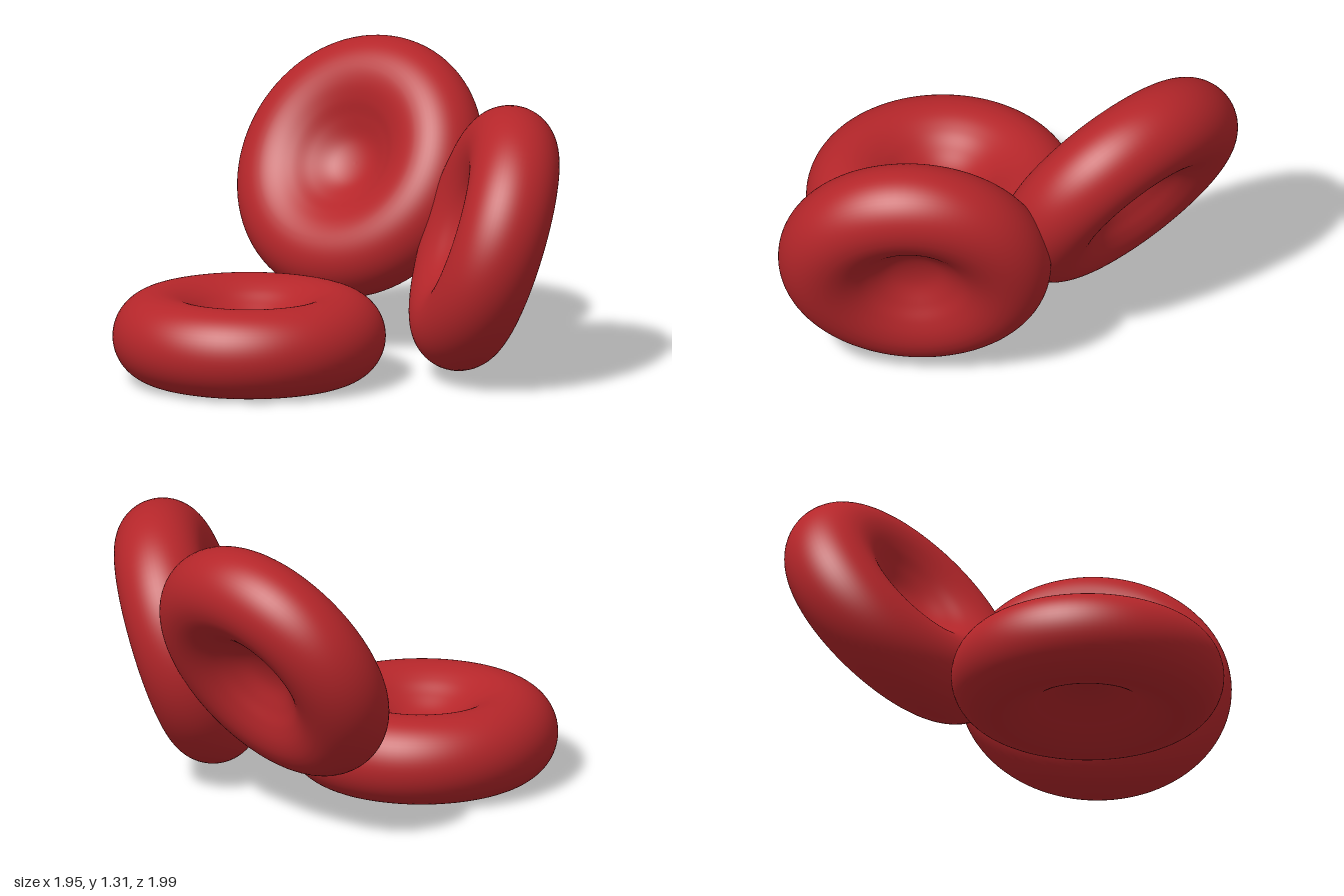
import * as THREE from 'three';

const RING = 0.4;    // radius at which the disc is thickest
const TUBE = 0.195;  // half thickness of the rounded rim

// Biconcave disc: dimpled faces flowing into a half-round rim
function discGeometry() {
  const dimple = new THREE.SplineCurve([
    [-0.1, 0.055], [0, 0.04], [0.1, 0.055], [0.19, 0.105], [0.26, 0.152],
    [0.33, 0.184], [RING, TUBE], [0.47, 0.182],
  ].map(([r, h]) => new THREE.Vector2(r, h)));

  // From the centre (t = 1/7) out to the crest (t = 6/7)
  const top = [];
  for (let i = 0; i <= 30; i++) top.push(dimple.getPoint((1 + 5 * i / 30) / 7));
  top[0].x = 0;

  const rim = [];
  for (let i = 1; i < 32; i++) {
    const a = -Math.PI / 2 + Math.PI * i / 32;
    rim.push(new THREE.Vector2(RING + TUBE * Math.cos(a), TUBE * Math.sin(a)));
  }
  const bottom = top.map((p) => new THREE.Vector2(p.x, -p.y));
  return new THREE.LatheGeometry([...bottom, ...rim, ...top.reverse()], 96);
}

export function createModel() {
  const model = new THREE.Group();
  model.name = 'bloodCells';

  const red = new THREE.MeshStandardMaterial({ color: 0xb5262a });
  red.name = 'bloodRed';
  const geometry = discGeometry();
  const up = new THREE.Vector3(0, 1, 0);

  // Each cell: centre and the direction its upper face points
  const cells = [
    ['lyingCell', [-0.38, 0.195, 0.4], [0, 1, 0]],
    ['backCell', [-0.195, 0.765, -0.58], [-0.275, 0.484, 0.831]],
    ['leftCell', [0.57, 0.615, 0.015], [-0.858, 0.312, 0.409]],
  ];
  for (const [name, centre, axis] of cells) {
    const cell = new THREE.Mesh(geometry, red);
    cell.name = name;
    cell.position.set(...centre);
    cell.quaternion.setFromUnitVectors(up, new THREE.Vector3(...axis).normalize());
    model.add(cell);
  }
  return model;
}
